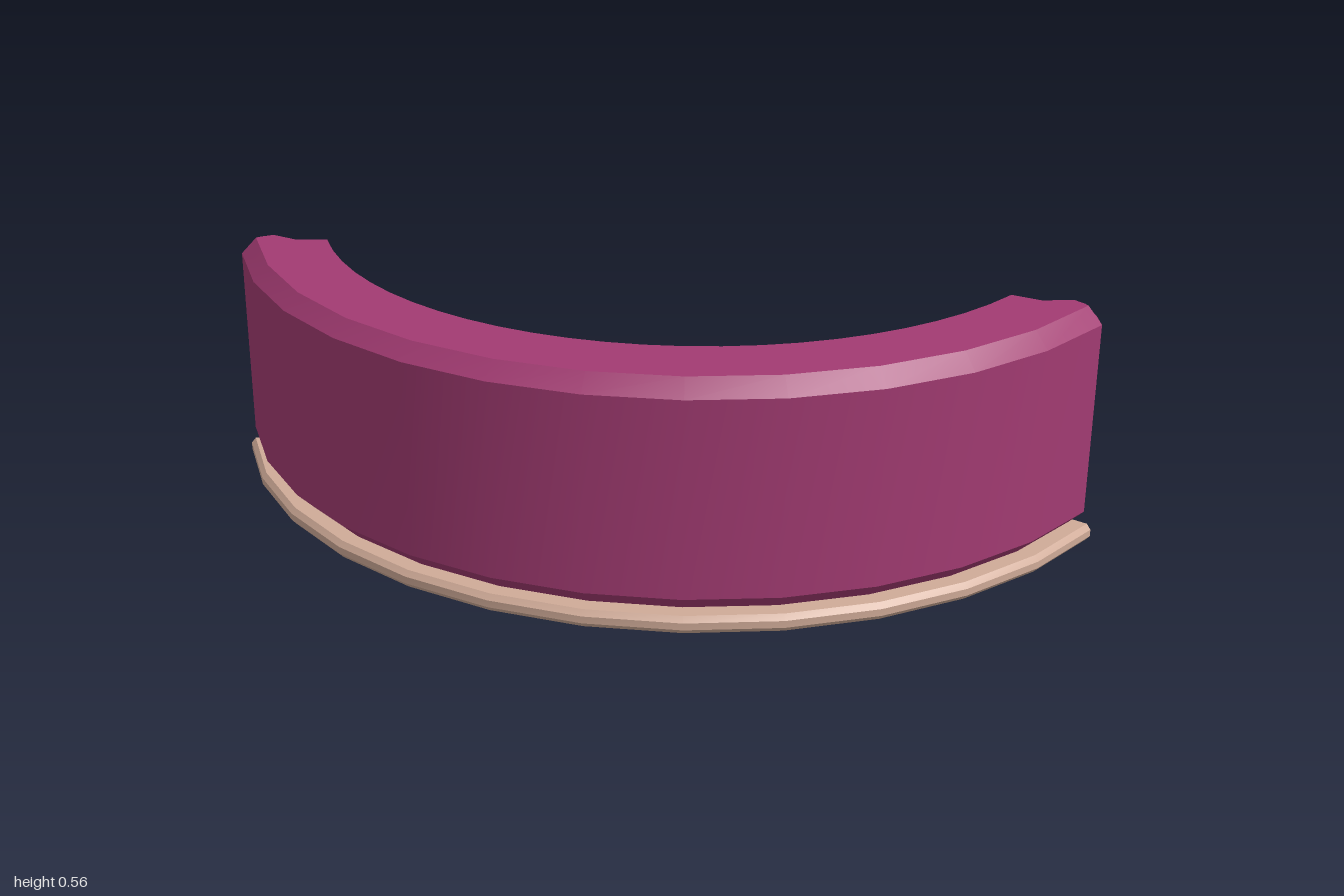
import * as THREE from 'three';
import { toCreasedNormals } from 'three/addons/utils/BufferGeometryUtils.js';

const CENTRE_Z = -0.66; // centre of all the arcs in plan
const RAD = Math.PI / 180;

// Polar plan position; angle in degrees from +z towards +x
const polar = (r, deg) => [r * Math.sin(deg * RAD), CENTRE_Z + r * Math.cos(deg * RAD)];

const arc = (r, from, to, n) =>
  Array.from({ length: n + 1 }, (_, i) => polar(r, from + ((to - from) * i) / n));

// Plan outline: outer arc, end corners, inner arc, mirrored end corners
function outline(p, d) {
  const inner = p.inner - d * p.innerLean;
  const corners = p.corners.map(([r, deg, dr]) => [r + d * dr, deg - (d * p.endInset) / r / RAD]);
  return [
    ...arc(p.outer - d, -p.outerEnd, p.outerEnd, 12),
    ...corners.map(([r, a]) => polar(r, a)),
    ...arc(inner, p.innerEnd, -p.innerEnd, 24),
    ...corners.reverse().map(([r, a]) => polar(r, -a)),
  ];
}

// Solid lofted through chamfered levels [y, inset]
function loft(plan, levels) {
  const rings = levels.map(([y, d]) => outline(plan, d).map(([x, z]) => [x, y, z]));
  const n = rings[0].length;
  const index = [];
  for (let k = 0; k < rings.length - 1; k++) {
    for (let i = 0; i < n; i++) {
      const j = (i + 1) % n;
      const a = k * n + i, b = k * n + j, c = b + n, e = a + n;
      index.push(a, b, c, a, c, e);
    }
  }
  const cap = (ring) =>
    THREE.ShapeUtils.triangulateShape(ring.map(([x, , z]) => new THREE.Vector2(x, -z)), []);
  const top = (rings.length - 1) * n;
  cap(rings[0]).forEach(([a, b, c]) => index.push(c, b, a));
  cap(rings[rings.length - 1]).forEach(([a, b, c]) => index.push(top + a, top + b, top + c));
  const g = new THREE.BufferGeometry();
  g.setAttribute('position', new THREE.Float32BufferAttribute(rings.flat(2), 3));
  g.setIndex(index);
  return toCreasedNormals(g, 25 * RAD);
}

const chamfered = (y0, y1, d, h) => [[y0, d], [y0 + h, 0], [y1 - h, 0], [y1, d]];

export function createModel() {
  const upholstery = new THREE.MeshStandardMaterial({ color: 0xa23b72 });
  upholstery.name = 'plum upholstery';
  const wood = new THREE.MeshStandardMaterial({ color: 0xd0ab98 });
  wood.name = 'pale wood';
  const brass = new THREE.MeshStandardMaterial({ color: 0xc9b48f });
  brass.name = 'beige button';

  const model = new THREE.Group();
  model.name = 'curvedSofa';
  const add = (name, geometry, material) => {
    const mesh = new THREE.Mesh(geometry, material);
    mesh.name = name;
    model.add(mesh);
    return mesh;
  };

  // Plinth
  add('base', loft({
    outer: 1.097, outerEnd: 65.8, inner: 0.546, innerEnd: 65.8, innerLean: 1,
    endInset: 1, corners: [],
  }, chamfered(0, 0.04, 0.01, 0.012)), wood);

  // Seat with cut inner corners and a lip along the inner curve
  add('seat', loft({
    outer: 1.0, outerEnd: 63, inner: 0.545, innerEnd: 57, innerLean: 1,
    endInset: 1, corners: [[0.99, 64.8, -1], [0.575, 64.8, 0.4], [0.543, 59.8, 0.3]],
  }, chamfered(0.04, 0.265, 0.035, 0.032)), upholstery);

  // Backrest with cut end corners and a lip along the inner curve
  add('backrest', loft({
    outer: 1.085, outerEnd: 64.9, inner: 0.925, innerEnd: 62, innerLean: 1,
    endInset: 1, corners: [[1.053, 67.1, -0.4], [0.995, 67.6, 0.4], [0.945, 65, 0.4]],
  }, chamfered(0.04, 0.555, 0.035, 0.036)), upholstery);

  // Round cushions and backrest buttons, evenly spread along the arc
  const cushion = new THREE.SphereGeometry(0.16, 10, 8).scale(1, 0.4, 1);
  const button = new THREE.SphereGeometry(0.02, 8, 6);
  for (let i = -2; i <= 2; i++) {
    const deg = i * 25.1;
    const [cx, cz] = polar(0.747, deg);
    const pad = add('cushion', cushion, upholstery);
    pad.position.set(cx, 0.265, cz);
    pad.rotation.y = deg * RAD;
    const [bx, bz] = polar(0.92, deg);
    add('button', button, brass).position.set(bx, 0.4, bz);
  }
  return model;
}
